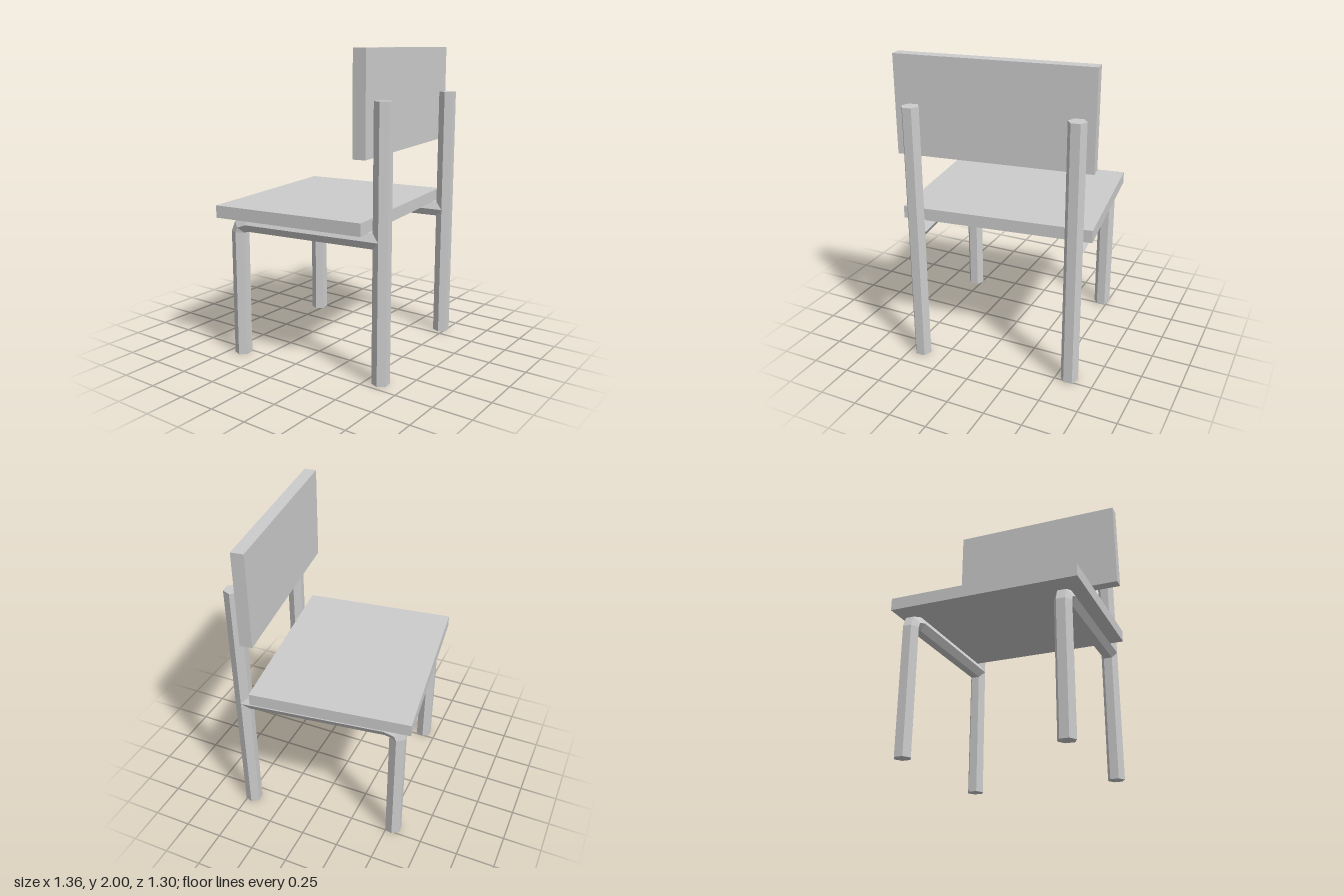
import * as THREE from 'three';

const grey = new THREE.MeshStandardMaterial({ color: 0xcccccc, flatShading: true });
grey.name = 'grey';

const TUBE = 0.0565, SIDES = 6;

// Hexagonal tube swept along [z, y, outward angle] stations in the side plane
function sweepTube(stations) {
  const pos = [], index = [], n = stations.length;
  for (const [z, y, a] of stations) {
    for (let i = 0; i < SIDES; i++) {
      const t = (i / SIDES) * Math.PI * 2;
      const out = TUBE * Math.sin(t);
      pos.push(TUBE * Math.cos(t), y + out * Math.sin(a), z - out * Math.cos(a));
    }
  }
  for (let s = 0; s < n - 1; s++) {
    for (let i = 0; i < SIDES; i++) {
      const j = (i + 1) % SIDES, a = s * SIDES, b = a + SIDES;
      index.push(a + i, a + j, b + j, a + i, b + j, b + i);
    }
  }
  // end caps
  const last = (n - 1) * SIDES;
  for (let i = 1; i < SIDES - 1; i++) {
    index.push(0, i + 1, i, last, last + i, last + i + 1);
  }
  const geo = new THREE.BufferGeometry();
  geo.setAttribute('position', new THREE.Float32BufferAttribute(pos, 3));
  geo.setIndex(index);
  geo.computeVertexNormals();
  return geo;
}

function add(parent, name, geometry, x, y, z) {
  const mesh = new THREE.Mesh(geometry, grey);
  mesh.name = name;
  mesh.position.set(x, y, z);
  parent.add(mesh);
  return mesh;
}

export function createModel() {
  const model = new THREE.Group();
  model.name = 'chair';
  const chair = new THREE.Group();
  chair.name = 'turnedChair';
  chair.rotation.y = 0.13;
  model.add(chair);

  // Seat and backrest boards
  add(chair, 'seat', new THREE.BoxGeometry(1.23, 0.08, 1.031), 0.003, 0.975, -0.0585);
  add(chair, 'backrest', new THREE.BoxGeometry(1.23, 0.62, 0.081), 0.003, 1.69, 0.4435);

  // Straight rear posts, and front legs bent into side rails
  const post = new THREE.CylinderGeometry(TUBE, TUBE, 1.705, SIDES);
  post.rotateY(Math.PI / 2);
  const bentLeg = sweepTube([
    [-0.477, 0, 0],
    [-0.477, 0.835, 0],
    [-0.463, 0.868, Math.PI / 4],
    [-0.4, 0.891, Math.PI / 2],
    [0.537, 0.891, Math.PI / 2],
  ]);
  for (const [side, x] of [['right', -0.49], ['left', 0.523]]) {
    add(chair, side + 'RearPost', post, x, 0.8525, 0.537);
    add(chair, side + 'FrontLegAndRail', bentLeg, x, 0, 0);
  }
  return model;
}
